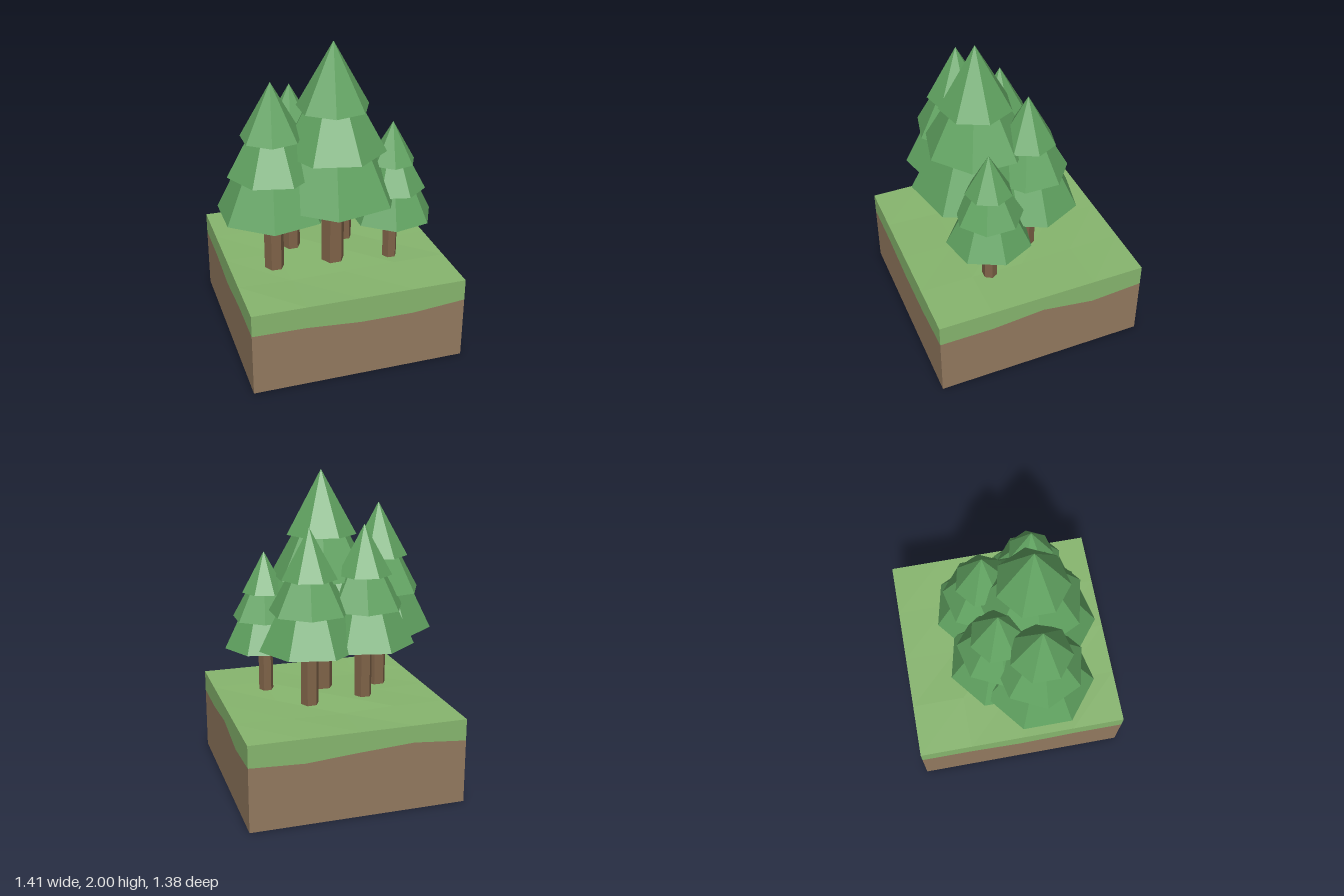
import * as THREE from 'three';

const mat = (color) => new THREE.MeshStandardMaterial({ color, flatShading: true });
const X0 = -0.67, X1 = 0.7, Z = 0.69, TOP = 0.55;

// Non-indexed geometry from a list of quads, each four corners counter-clockwise
function quadGeometry(quads) {
  const pos = [];
  for (const [a, b, c, d] of quads) pos.push(...a, ...b, ...c, ...a, ...c, ...d);
  const g = new THREE.BufferGeometry();
  g.setAttribute('position', new THREE.Float32BufferAttribute(pos, 3));
  g.computeVertexNormals();
  return g;
}

function addMesh(parent, name, geometry, material) {
  const mesh = new THREE.Mesh(geometry, material);
  mesh.name = name;
  parent.add(mesh);
  return mesh;
}

function createGround() {
  const ground = new THREE.Group();
  ground.name = 'ground';

  // Wavy line between soil and grass: front, +x side, back, -x side
  const corners = [[X0, Z], [X1, Z], [X1, -Z], [X0, -Z]];
  const heights = [
    [0.41, 0.405, 0.38, 0.38],
    [0.41, 0.41, 0.44, 0.385],
    [0.41, 0.395, 0.42, 0.44],
    [0.41, 0.41, 0.38, 0.41],
  ];
  const line = [];
  heights.forEach((side, s) => side.forEach((y, i) => {
    const a = corners[s], b = corners[(s + 1) % 4], t = i / 4;
    line.push([a[0] + (b[0] - a[0]) * t, y, a[1] + (b[1] - a[1]) * t]);
  }));

  const at = (p, y) => [p[0], y, p[2]];
  const soil = [], grass = [];
  line.forEach((p, i) => {
    const q = line[(i + 1) % line.length];
    soil.push([at(p, 0), at(q, 0), q, p]);
    grass.push([p, q, at(q, TOP), at(p, TOP)]);
  });

  // Flat underside
  soil.push([[X0, 0, -Z], [X1, 0, -Z], [X1, 0, Z], [X0, 0, Z]]);

  // Lawn with very slight dips between the straight outer edges
  const lawn = (i, j) => {
    const inside = i > 0 && i < 4 && j > 0 && j < 4;
    const dip = inside ? 0.006 * ((i * 2 + j) % 3) : 0;
    return [X0 + (X1 - X0) * i / 4, TOP - dip, -Z + 2 * Z * j / 4];
  };
  for (let i = 0; i < 4; i++) {
    for (let j = 0; j < 4; j++) {
      grass.push([lawn(i, j), lawn(i, j + 1), lawn(i + 1, j + 1), lawn(i + 1, j)]);
    }
  }

  addMesh(ground, 'soil', quadGeometry(soil), mat(0x93795f));
  addMesh(ground, 'grass', quadGeometry(grass), mat(0x87b66e));
  return ground;
}

// Tiers of the full-size tree: base height, apex height, radius, twist
const TIERS = [
  ['lowerFoliage', 0.47, 1.32, 0.42, 0],
  ['middleFoliage', 0.77, 1.37, 0.333, Math.PI / 7],
  ['upperFoliage', 1.04, 1.45, 0.23, 0],
];

function createTree(x, z, scale, bark, needles) {
  const tree = new THREE.Group();
  tree.name = 'tree';

  // Six-sided trunk, sunk slightly into the lawn
  const trunk = new THREE.CylinderGeometry(0.075, 0.075, 0.62, 6, 1, false, Math.PI / 2);
  addMesh(tree, 'trunk', trunk, bark).position.y = 0.29;

  // Three stacked seven-sided cones
  for (const [name, base, apex, radius, twist] of TIERS) {
    const cone = new THREE.ConeGeometry(radius, apex - base, 7, 1, false, Math.PI / 2 + twist);
    addMesh(tree, name, cone, needles).position.y = (base + apex) / 2;
  }
  tree.position.set(x, TOP, z);
  tree.scale.setScalar(scale);
  return tree;
}

export function createModel() {
  const model = new THREE.Group();
  model.name = 'forestBlock';
  model.add(createGround());

  // Trees: x, z, scale
  const bark = mat(0x7f6348), needles = mat(0x60a260);
  const trees = [
    [0, 0.163, 1],
    [-0.385, 0.145, 0.848],
    [0.366, 0.23, 0.641],
    [-0.21, -0.08, 0.779],
    [0.16, -0.11, 0.779],
  ];
  for (const [x, z, s] of trees) model.add(createTree(x, z, s, bark, needles));
  return model;
}
